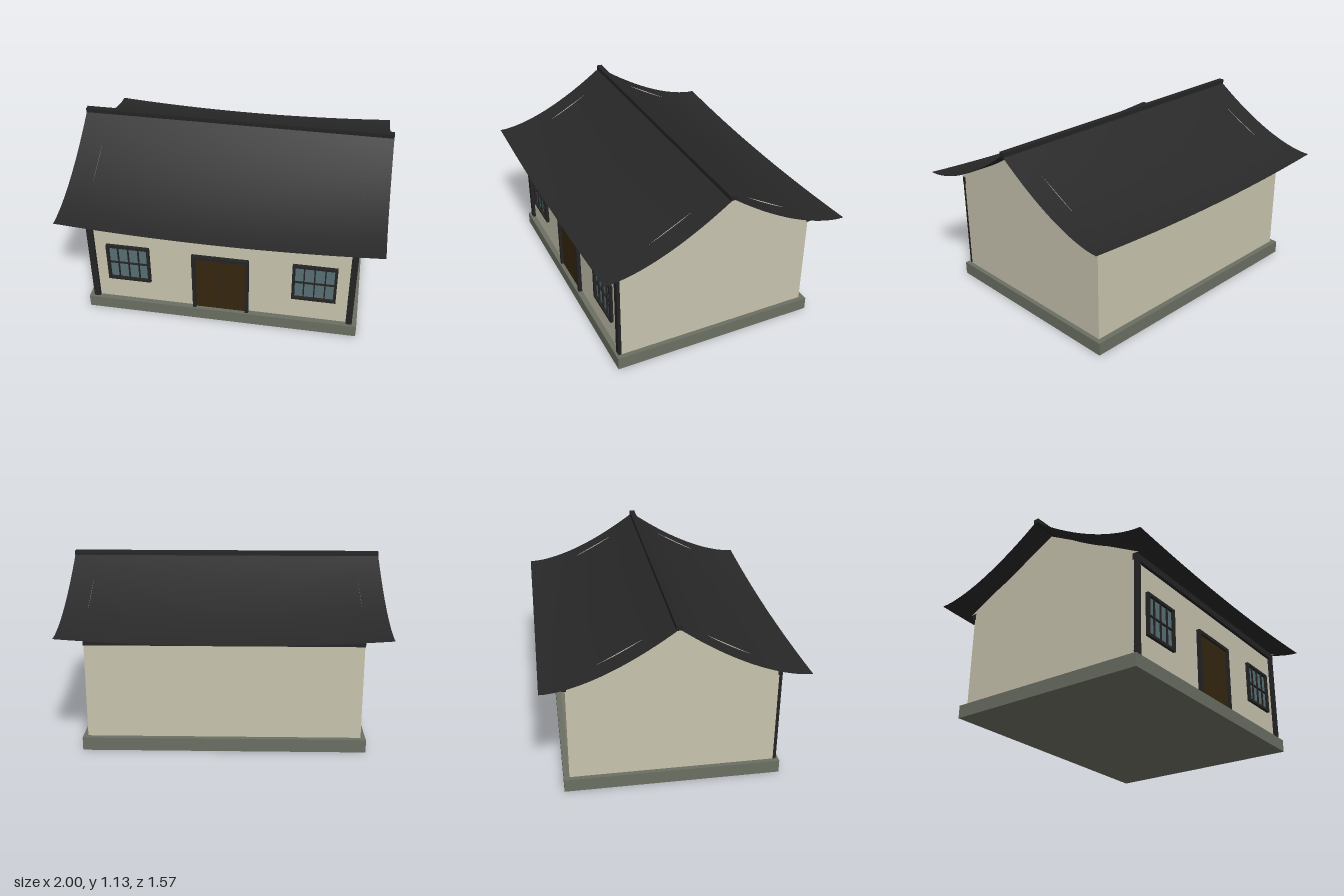
import * as THREE from 'three';

const mat = (name, color, side = THREE.FrontSide) => {
  const m = new THREE.MeshStandardMaterial({ color, side });
  m.name = name;
  return m;
};

export function createModel() {
  const plaster = mat('plaster', 0xc8c4af, THREE.DoubleSide);
  const stone = mat('stone', 0x6b6f62);
  const tile = mat('roofTile', 0x282828, THREE.DoubleSide);
  const timber = mat('darkTimber', 0x242425);
  const doorWood = mat('doorWood', 0x352710);
  const glass = mat('windowGlass', 0x587074);

  const model = new THREE.Group();
  model.name = 'house';

  // Box given by its lower and upper corners
  const box = (parent, name, m, [x0, y0, z0], [x1, y1, z1]) => {
    const mesh = new THREE.Mesh(new THREE.BoxGeometry(x1 - x0, y1 - y0, z1 - z0), m);
    mesh.position.set((x0 + x1) / 2, (y0 + y1) / 2, (z0 + z1) / 2);
    mesh.name = name;
    parent.add(mesh);
    return mesh;
  };

  const WALL_X = 0.85, WALL_Z = 0.635, WALL_TOP = 0.725, BASE = 0.083;

  // Plinth and wall block
  box(model, 'plinth', stone, [-0.88, 0, -0.67], [0.88, BASE, 0.67]);
  box(model, 'walls', plaster, [-WALL_X, BASE, -WALL_Z], [WALL_X, WALL_TOP, WALL_Z]);

  // Corner posts on the front, eave beams front and back
  for (const s of [-1, 1]) {
    const x = s * 0.83;
    box(model, 'cornerPost', timber, [x - 0.02, BASE, 0.62], [x + 0.02, 0.685, 0.655]);
    const z = s * 0.642;
    box(model, 'eaveBeam', timber, [-0.851, 0.685, z - 0.014], [0.851, 0.727, z + 0.014]);
  }

  // Thin triangular gables, leaving the attic open between them
  const triangle = new THREE.Shape([
    new THREE.Vector2(-0.67, WALL_TOP),
    new THREE.Vector2(0.67, WALL_TOP),
    new THREE.Vector2(0, 1.085),
  ]);
  for (const s of [-1, 1]) {
    const gable = new THREE.Mesh(new THREE.ShapeGeometry(triangle), plaster);
    gable.rotation.y = s * Math.PI / 2;
    gable.position.x = s * WALL_X;
    gable.name = 'gable';
    model.add(gable);
  }

  // Concave roof slopes whose eaves lift towards the ends
  const slope = new THREE.PlaneGeometry(2, 1, 32, 20).rotateX(-Math.PI / 2);
  const p = slope.attributes.position;
  for (let i = 0; i < p.count; i++) {
    const x = p.getX(i);
    const t = Math.min(1, Math.max(0, p.getZ(i) + 0.5));
    p.setXYZ(i, x, 0.728 + 0.382 * (1 - t) ** 1.5 + 0.037 * t * t * x * x, t * 0.785);
  }
  slope.computeVertexNormals();
  for (const turn of [0, Math.PI]) {
    const roof = new THREE.Mesh(slope, tile);
    roof.rotation.y = turn;
    roof.name = turn ? 'backRoofSlope' : 'frontRoofSlope';
    model.add(roof);
  }
  box(model, 'ridgeBeam', timber, [-1, 1.102, -0.018], [1, 1.13, 0.018]);

  // Rectangular frame: two jambs, a head and an optional sill
  const frame = (parent, x0, y0, x1, y1, w, z, sill) => {
    box(parent, 'jamb', timber, [x0, y0, 0.63], [x0 + w, y1, z]);
    box(parent, 'jamb', timber, [x1 - w, y0, 0.63], [x1, y1, z]);
    box(parent, 'head', timber, [x0 + w, y1 - w, 0.63], [x1 - w, y1, z]);
    if (sill) box(parent, 'sill', timber, [x0 + w, y0, 0.63], [x1 - w, y0 + w, z]);
  };

  // Double door
  const door = new THREE.Group();
  door.name = 'door';
  frame(door, -0.182, BASE, 0.182, 0.512, 0.022, 0.66, false);
  box(door, 'rightLeaf', doorWood, [-0.16, BASE, 0.63], [-0.0015, 0.49, 0.645]);
  box(door, 'leftLeaf', doorWood, [0.0015, BASE, 0.63], [0.16, 0.49, 0.645]);
  box(door, 'leafGap', timber, [-0.0015, BASE, 0.63], [0.0015, 0.49, 0.643]);
  model.add(door);

  // Latticed windows
  for (const s of [-1, 1]) {
    const win = new THREE.Group();
    win.name = s > 0 ? 'leftWindow' : 'rightWindow';
    win.position.x = s * 0.595;
    frame(win, -0.14, 0.248, 0.14, 0.524, 0.018, 0.655, true);
    box(win, 'pane', glass, [-0.122, 0.266, 0.632], [0.122, 0.506, 0.638]);
    for (const x of [-0.066, 0, 0.066])
      box(win, 'verticalBar', timber, [x - 0.004, 0.266, 0.636], [x + 0.004, 0.506, 0.648]);
    box(win, 'crossBar', timber, [-0.122, 0.381, 0.636], [0.122, 0.389, 0.649]);
    model.add(win);
  }

  return model;
}
